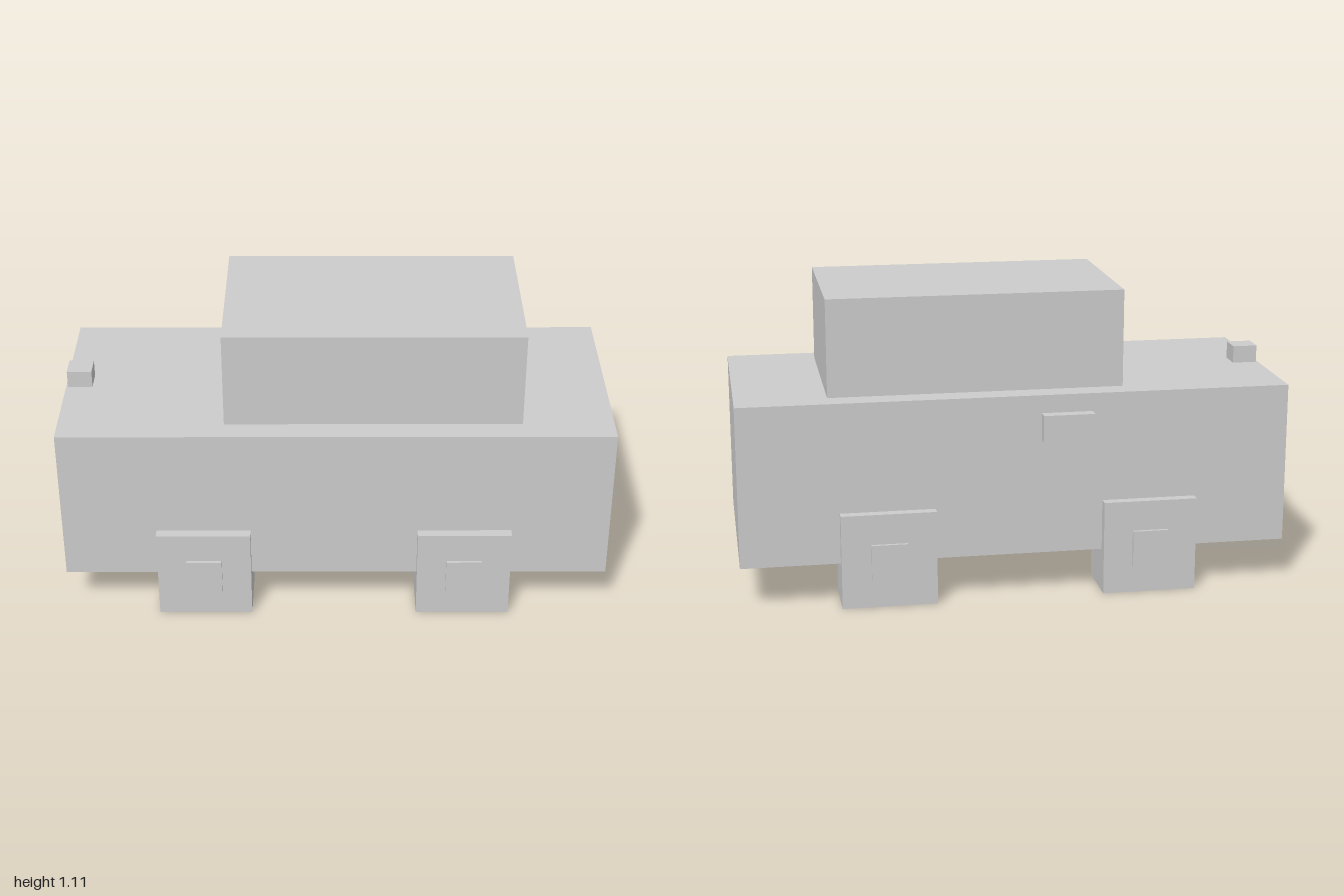
import * as THREE from 'three';

const material = new THREE.MeshStandardMaterial({ color: 0xcccccc, flatShading: true });

// Box given by its extents along each axis
function block(name, [x0, x1], [y0, y1], [z0, z1]) {
  const mesh = new THREE.Mesh(new THREE.BoxGeometry(x1 - x0, y1 - y0, z1 - z0), material);
  mesh.name = name;
  mesh.position.set((x0 + x1) / 2, (y0 + y1) / 2, (z0 + z1) / 2);
  return mesh;
}

// Square wheel with a raised hub on its outer face; side is +1 or -1 along z
function wheel(name, x, side) {
  const group = new THREE.Group();
  group.name = name;
  const span = (inner, outer) => (side > 0 ? [inner, outer] : [-outer, -inner]);
  group.add(
    block('tyre', [-0.172, 0.172], [0, 0.347], span(0.232, 0.441)),
    block('hub', [-0.065, 0.065], [0.105, 0.236], span(0.4, 0.453)),
  );
  group.position.x = x;
  return group;
}

export function createModel() {
  const car = new THREE.Group();
  car.name = 'blockCar';

  // Body and cabin
  car.add(
    block('body', [-1, 1], [0.16, 0.75], [-0.404, 0.404]),
    block('cabin', [-0.402, 0.67], [0.75, 1.105], [-0.317, 0.317]),
  );

  // Bonnet ornament and the single door handle
  car.add(
    block('bonnetOrnament', [-0.993, -0.902], [0.74, 0.814], [-0.033, 0.053]),
    block('doorHandle', [-0.273, -0.087], [0.586, 0.684], [-0.446, -0.39]),
  );

  // Wheels
  for (const side of [1, -1]) {
    const label = side > 0 ? 'Near' : 'Far';
    car.add(wheel(`bonnetWheel${label}`, -0.485, side), wheel(`tailWheel${label}`, 0.47, side));
  }
  return car;
}
